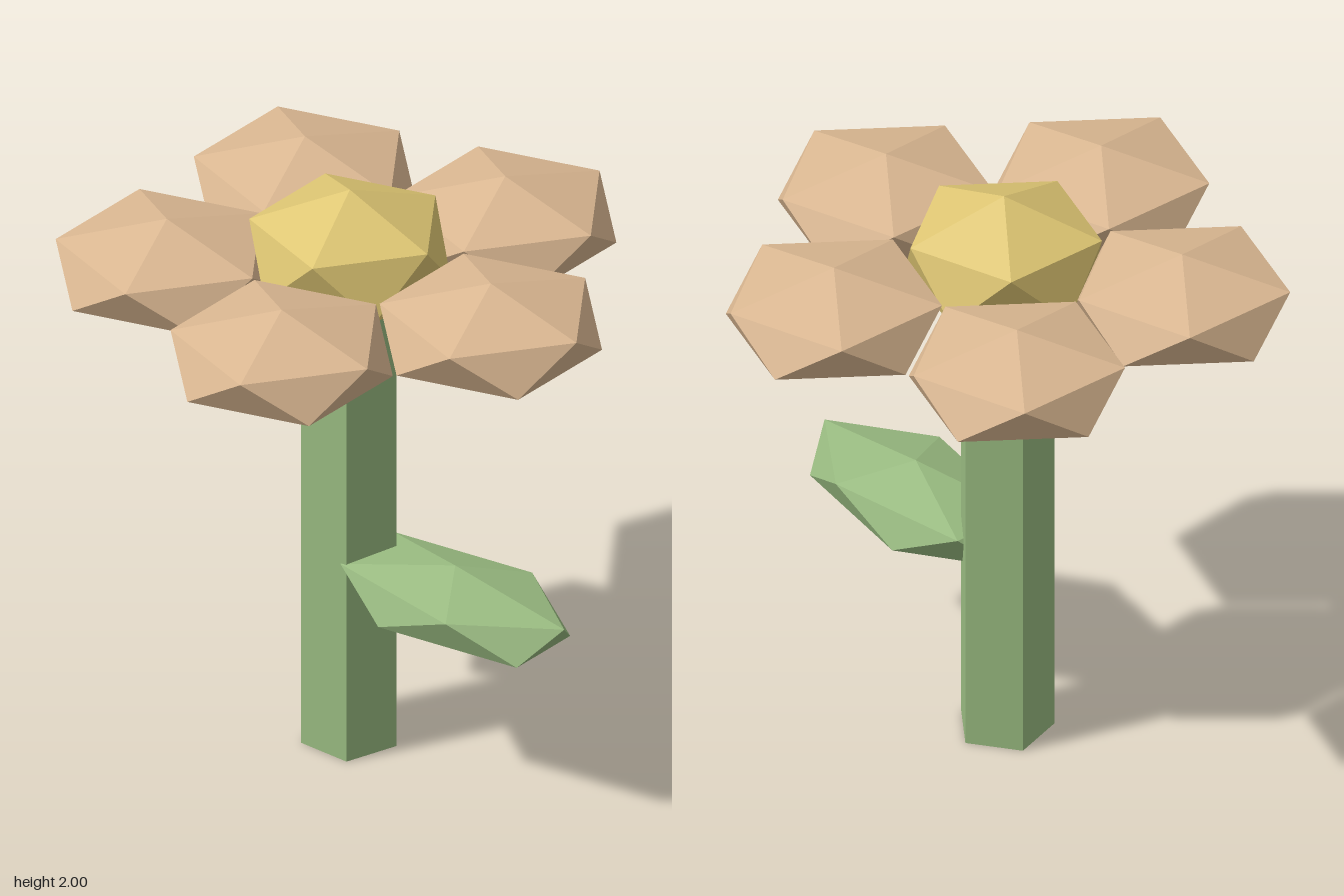
import * as THREE from 'three';

const material = (name, color) => {
  const m = new THREE.MeshStandardMaterial({ color, flatShading: true });
  m.name = name;
  return m;
};

// Icosahedron standing on a corner, stretched to the given radii
function gem(name, mat, radii, position) {
  const geometry = new THREE.IcosahedronGeometry(1, 0);
  geometry.rotateZ(-Math.atan(2 / (1 + Math.sqrt(5))));
  geometry.scale(...radii);
  const mesh = new THREE.Mesh(geometry, mat);
  mesh.name = name;
  mesh.position.set(...position);
  return mesh;
}

export function createModel() {
  const flower = new THREE.Group();
  flower.name = 'flower';
  const green = material('leaf green', 0x98ba80);
  const tan = material('petal tan', 0xdbb892);
  const yellow = material('centre yellow', 0xdec673);
  const axis = -0.055; // x of the stem

  // Five-sided stem, flat side to the front
  const stem = new THREE.Mesh(new THREE.CylinderGeometry(0.16, 0.16, 1.605, 5), green);
  stem.name = 'stem';
  stem.rotation.y = Math.PI;
  stem.position.set(axis, 0.8025, 0);
  flower.add(stem);

  // Single leaf on the left side
  flower.add(gem('leaf', green, [0.503, 0.126, 0.252], [0.38, 0.66, 0]));

  // Ring of petals, all turned the same way
  for (let i = 0; i < 5; i++) {
    const a = (i / 5) * Math.PI * 2;
    const position = [axis + 0.582 * Math.cos(a), 1.713, 0.582 * Math.sin(a)];
    flower.add(gem(`petal${i + 1}`, tan, [0.395, 0.158, 0.395], position));
  }

  // Flower centre
  flower.add(gem('centre', yellow, [0.358, 0.215, 0.358], [axis, 1.785, 0]));
  return flower;
}
